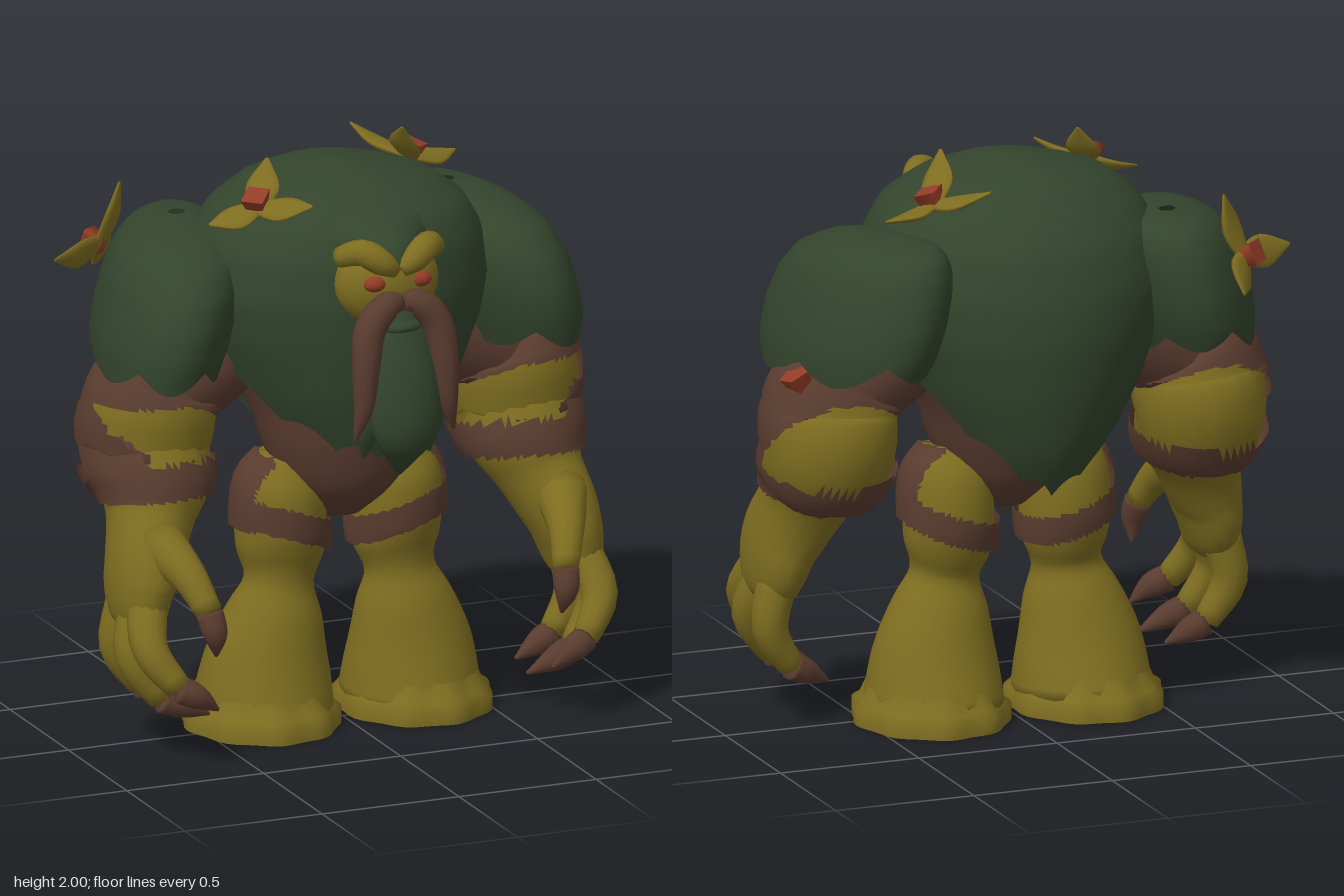
import * as THREE from 'three';

const V = (x, y, z) => new THREE.Vector3(x, y, z);
const X = V(1, 0, 0), Z = V(0, 0, 1);

// Surface from a rule fn(u, v, row), closed around u, smooth normals
function grid(fn, nu, nv) {
  const pos = [], idx = [];
  for (let j = 0; j <= nv; j++) for (let i = 0; i < nu; i++) pos.push(...fn(i / nu, j / nv, j));
  for (let j = 0; j < nv; j++) for (let i = 0; i < nu; i++) {
    const k = (i + 1) % nu, a = j * nu + i, b = j * nu + k, c = b + nu, d = a + nu;
    idx.push(a, b, c, a, c, d);
  }
  const g = new THREE.BufferGeometry();
  g.setAttribute('position', new THREE.Float32BufferAttribute(pos, 3));
  g.setIndex(idx);
  g.computeVertexNormals();
  return g;
}

// Rounded limb through rows [x, y, z, ra, rb]; ra runs along ref
function limb(rows, { ref = X, n = 18, steps = 4 } = {}) {
  const path = new THREE.CatmullRomCurve3(rows.map(r => V(r[0], r[1], r[2])), false, 'catmullrom', 0.5);
  const size = new THREE.CatmullRomCurve3(rows.map(r => V(r[3], r[4] ?? r[3], 0)), false, 'catmullrom', 0.5);
  const m = (rows.length - 1) * steps, rings = [];
  for (let j = 0; j <= m; j++) {
    const t = j / m, p = path.getPoint(t), s = size.getPoint(t), T = path.getTangent(t);
    const A = ref.clone().addScaledVector(T, -ref.dot(T)).normalize();
    rings.push({ p, s, A, B: T.clone().cross(A) });
  }
  return grid((u, v, j) => {
    const cap = j === 0 || j === m + 2 ? 0 : 1;
    const { p, s, A, B } = rings[Math.min(m, Math.max(0, j - 1))], a = u * Math.PI * 2;
    return p.clone().addScaledVector(A, cap * s.x * Math.cos(a)).addScaledVector(B, cap * s.y * Math.sin(a)).toArray();
  }, n, m + 2);
}

// Bark layer over a limb, kept only where rule(x, y, z) holds
function bark(rows, thick, rule) {
  const g = limb(rows.map(([x, y, z, a, b]) => [x, y, z, a + thick, b + thick]), { n: 56, steps: 9 });
  const p = g.attributes.position, ix = g.index.array, keep = [];
  for (let i = 0; i < ix.length; i += 3) {
    const t = [ix[i], ix[i + 1], ix[i + 2]], mean = k => (p.array[t[0] * 3 + k] + p.array[t[1] * 3 + k] + p.array[t[2] * 3 + k]) / 3;
    if (rule(mean(0), mean(1), mean(2))) keep.push(...t);
  }
  g.setIndex(keep);
  return g;
}

// Draped dome from rows [y, xMin, xMax, zMin, zMax], cut at hem(angle)
function drape(rows, hem, n, nv, skew = 0) {
  const at = y => {
    let k = 0;
    while (k < rows.length - 2 && y < rows[k + 1][0]) k++;
    const f = (rows[k][0] - y) / (rows[k][0] - rows[k + 1][0]);
    return rows[k].map((q, i) => q + (rows[k + 1][i] - q) * f);
  };
  return grid((u, v) => {
    const a = u * Math.PI * 2, top = rows[0][0], y = top - (top - hem(a)) * v ** 1.7;
    const [, x0, x1, z0, z1] = at(y), z = (z0 + z1) / 2 + (z1 - z0) / 2 * Math.sin(a);
    return [(x0 + x1) / 2 + (x1 - x0) / 2 * Math.cos(a) + skew * z, y, z];
  }, n, nv);
}

const ball = (x, y, z, rx, ry, rz) => new THREE.SphereGeometry(1, 24, 16).scale(rx, ry, rz).translate(x, y, z);

function mirrored(geo) {
  const g = geo.clone().scale(-1, 1, 1), ix = g.index;
  for (let i = 0; i < ix.count; i += 3) {
    const b = ix.getX(i + 1);
    ix.setX(i + 1, ix.getX(i + 2));
    ix.setX(i + 2, b);
  }
  g.computeVertexNormals();
  return g;
}

export function createModel() {
  const root = new THREE.Group();
  const paint = (name, color, side = THREE.FrontSide) => new THREE.MeshStandardMaterial({ name, color, side });
  const green = paint('moss green', 0x33442c, THREE.DoubleSide);
  const olive = paint('olive skin', 0x7e6d20);
  const brown = paint('bark brown', 0x5a3c2f, THREE.DoubleSide);
  const red = paint('berry red', 0x943c27);
  const add = (name, geo, mat) => {
    const m = new THREE.Mesh(geo, mat);
    m.name = name;
    root.add(m);
    return m;
  };
  const pair = (name, geo, mat) => {
    add('left' + name, geo, mat);
    add('right' + name, mirrored(geo), mat);
  };

  // Torso and leafy cloak
  add('torso', limb([[0, 1.5, -0.1, 0.42, 0.3], [0, 1.3, -0.06, 0.4, 0.28], [0, 1.1, -0.03, 0.31, 0.25],
    [0, 0.95, -0.02, 0.26, 0.22], [0, 0.82, -0.02, 0.19, 0.17], [0, 0.72, -0.02, 0.07, 0.07]], { n: 28 }), brown);
  const cloak = [[1.95, 0, -0.05, -0.05], [1.94, 0.08, -0.17, 0.04], [1.92, 0.18, -0.27, 0.13], [1.88, 0.33, -0.36, 0.23],
    [1.8, 0.44, -0.45, 0.34], [1.7, 0.5, -0.53, 0.39], [1.55, 0.53, -0.58, 0.41], [1.4, 0.5, -0.595, 0.4],
    [1.2, 0.42, -0.575, 0.37], [1.0, 0.31, -0.53, 0.31], [0.85, 0.2, -0.45, 0.27]]
    .map(([y, rx, zb, zf]) => [y, -rx, rx, zb, zf]);
  add('cloak', drape(cloak, a => {
    const s = Math.sin(a), drop = s > 0 ? 0.36 * s : 0.5 * (-s) ** 1.2;
    return 1.35 - drop + 0.045 * Math.abs(Math.cos(7 * a));
  }, 84, 26), green);

  // Shoulder mantles
  pair('Mantle', drape([[1.755, 0.5, 0.56, -0.3, -0.24], [1.745, 0.42, 0.64, -0.44, -0.06], [1.715, 0.38, 0.71, -0.5, 0.07],
    [1.66, 0.35, 0.77, -0.53, 0.18], [1.58, 0.35, 0.81, -0.55, 0.24], [1.48, 0.37, 0.84, -0.56, 0.27],
    [1.38, 0.4, 0.86, -0.55, 0.27], [1.25, 0.45, 0.86, -0.5, 0.24]],
    a => 1.345 - 0.07 * Math.abs(Math.sin(3 * a + 0.6)) + 0.04 * Math.max(0, -Math.sin(a)) ** 4, 60, 18, 0.15), green);

  // Head
  add('hood', limb([[0, 1.8, 0.1, 0.3, 0.1], [0, 1.765, 0.28, 0.2, 0.09], [0, 1.74, 0.42, 0.09, 0.06],
    [0, 1.71, 0.49, 0.01, 0.01]]), green);
  add('face', ball(0, 1.64, 0.37, 0.185, 0.16, 0.13), olive);
  pair('Brow', limb([[0.01, 1.7, 0.48, 0.025], [0.06, 1.735, 0.48, 0.044], [0.12, 1.77, 0.45, 0.046],
    [0.175, 1.74, 0.38, 0.035]], { ref: Z, n: 12 }), olive);
  pair('Eye', ball(0.082, 1.662, 0.474, 0.04, 0.028, 0.028), red);
  pair('Moustache', limb([[0.005, 1.6, 0.51, 0.03], [0.06, 1.595, 0.52, 0.048], [0.122, 1.52, 0.525, 0.054],
    [0.143, 1.4, 0.54, 0.048], [0.155, 1.25, 0.545, 0.033], [0.18, 1.14, 0.53, 0.006]], { ref: Z, n: 12 }), brown);
  add('lip', ball(0, 1.51, 0.48, 0.085, 0.03, 0.06), green);
  add('beard', limb([[0, 1.56, 0.42, 0.07, 0.07], [0, 1.45, 0.46, 0.12, 0.09], [0, 1.3, 0.51, 0.135, 0.085],
    [0, 1.15, 0.54, 0.115, 0.065], [0, 1.06, 0.51, 0.06, 0.04], [0, 0.99, 0.48, 0.01, 0.01]]), green);
  pair('BeardLock', limb([[0.08, 1.35, 0.48, 0.06], [0.11, 1.18, 0.48, 0.05], [0.12, 1.05, 0.46, 0.006]], { n: 10 }), green);

  // Arms, with bark wrapped around olive patches
  pair('Shoulder', limb([[0.3, 1.38, -0.1, 0.16], [0.48, 1.28, -0.1, 0.18], [0.64, 1.17, -0.1, 0.17]], { ref: Z }), brown);
  const arm = [[0.6, 1.29, -0.1, 0.1, 0.1], [0.645, 1.22, -0.1, 0.195, 0.18], [0.66, 1.12, -0.1, 0.225, 0.21],
    [0.67, 1.0, -0.12, 0.22, 0.23], [0.68, 0.9, -0.03, 0.2, 0.19], [0.71, 0.79, 0.02, 0.15, 0.16],
    [0.76, 0.66, 0.08, 0.125, 0.175], [0.785, 0.56, 0.1, 0.105, 0.175], [0.795, 0.47, 0.12, 0.08, 0.14],
    [0.8, 0.42, 0.12, 0.04, 0.08]];
  pair('Arm', limb(arm), olive);
  pair('ArmBark', bark(arm, 0.02, (x, y, z) =>
    Math.abs(y - 0.91 - 0.2 * z) < 0.062 ||
    y > 1.19 - 0.35 * Math.max(0, 0.62 - x) ||
    (x > 0.74 && y > 0.9 && Math.abs(z + 0.04 + (y - 1.05)) < 0.13)), brown);

  // Fingers: knuckle, middle, end joint, claw bend, claw tip
  const fingers = [
    ['Thumb', X, [0.74, 0.74, 0.14], [0.69, 0.66, 0.3], [0.65, 0.55, 0.39], [0.64, 0.48, 0.415], [0.63, 0.4, 0.4]],
    ['FrontFinger', Z, [0.79, 0.55, 0.18], [0.82, 0.41, 0.28], [0.74, 0.28, 0.345], [0.68, 0.25, 0.365], [0.61, 0.2, 0.37]],
    ['MiddleFinger', Z, [0.8, 0.52, 0.13], [0.84, 0.36, 0.18], [0.75, 0.21, 0.21], [0.68, 0.18, 0.22], [0.58, 0.14, 0.22]],
    ['BackFinger', Z, [0.8, 0.52, 0.03], [0.83, 0.35, 0.02], [0.75, 0.21, 0.03], [0.69, 0.18, 0.04], [0.61, 0.14, 0.05]]];
  for (const [name, ref, a, b, c, d, e] of fingers) {
    pair(name, limb([[...a, name === 'Thumb' ? 0.095 : 0.07], [...b, 0.062], [...c, 0.045]], { ref, n: 12 }), olive);
    pair(name + 'Claw', limb([[...c, 0.048], [...d, 0.042], [...e, 0.006]], { ref, n: 10 }), brown);
  }

  // Legs with bark bands
  const leg = [[0.2, 0.94, -0.02, 0.09, 0.09], [0.21, 0.84, -0.03, 0.145, 0.15], [0.21, 0.7, -0.04, 0.155, 0.16],
    [0.21, 0.6, -0.04, 0.15, 0.14], [0.22, 0.5, -0.03, 0.12, 0.11], [0.235, 0.39, -0.03, 0.165, 0.15],
    [0.26, 0.22, -0.04, 0.215, 0.2], [0.268, 0.05, -0.05, 0.24, 0.26]];
  pair('Leg', limb(leg, { n: 24 }), olive);
  pair('LegBark', bark(leg, 0.02, (x, y, z) =>
    Math.abs(y - 0.695 - 0.33 * (x - 0.205) - 0.15 * (z + 0.04)) < 0.052 ||
    (y > 0.7 && x > 0.25 && Math.abs(z + 0.03) < 0.1)), brown);

  // Wavy foot rims as [radius scale, height], with a flat sole
  const rim = [[0.8, 0.13], [0.9, 0.07], [0.99, 0.055], [0.99, 0], [0.99, 0], [0, 0]];
  pair('Foot', grid((u, v, j) => {
    const a = u * Math.PI * 2, r = rim[j][0] * (0.98 + 0.025 * Math.cos(9 * a));
    return [0.278 + 0.27 * r * Math.cos(a), rim[j][1], -0.05 + 0.3 * r * Math.sin(a)];
  }, 54, rim.length - 1), olive);

  // Flowers: heart position, facing, petal tips
  const flowers = [
    [[0.36, 1.87, -0.26], [0.3, 0.9, 0.1], [[0.27, 2.0, -0.12], [0.55, 1.83, -0.33], [0.22, 1.93, -0.45]]],
    [[-0.35, 1.87, 0.09], [-0.3, 0.9, 0.3], [[-0.27, 1.99, -0.01], [-0.52, 1.81, 0.08], [-0.22, 1.89, 0.26]]],
    [[-0.71, 1.62, -0.46], [-0.6, 0.35, -0.7], [[-0.63, 1.83, -0.43], [-0.9, 1.61, -0.35], [-0.63, 1.53, -0.62]]]];
  for (const [c, face, tips] of flowers) {
    const heart = V(...c), n = V(...face).normalize();
    for (const t of tips) {
      const tip = V(...t), base = heart.clone().addScaledVector(n, -0.02);
      const mid = base.clone().lerp(tip, 0.5).addScaledVector(n, -0.012);
      add('petal', limb([[...base, 0.016, 0.035], [...mid, 0.016, 0.06], [...tip, 0.004, 0.006]], { ref: n, n: 10 }), olive);
    }
    const m = add('flowerHeart', new THREE.CylinderGeometry(0.055, 0.035, 0.07, 4), red);
    m.position.copy(heart);
    m.quaternion.setFromUnitVectors(V(0, 1, 0), n);
  }
  const bud = add('armBud', new THREE.CylinderGeometry(0.06, 0.035, 0.09, 5), red);
  bud.position.set(0.805, 1.26, -0.2);
  bud.rotation.z = -0.5;
  return root;
}
